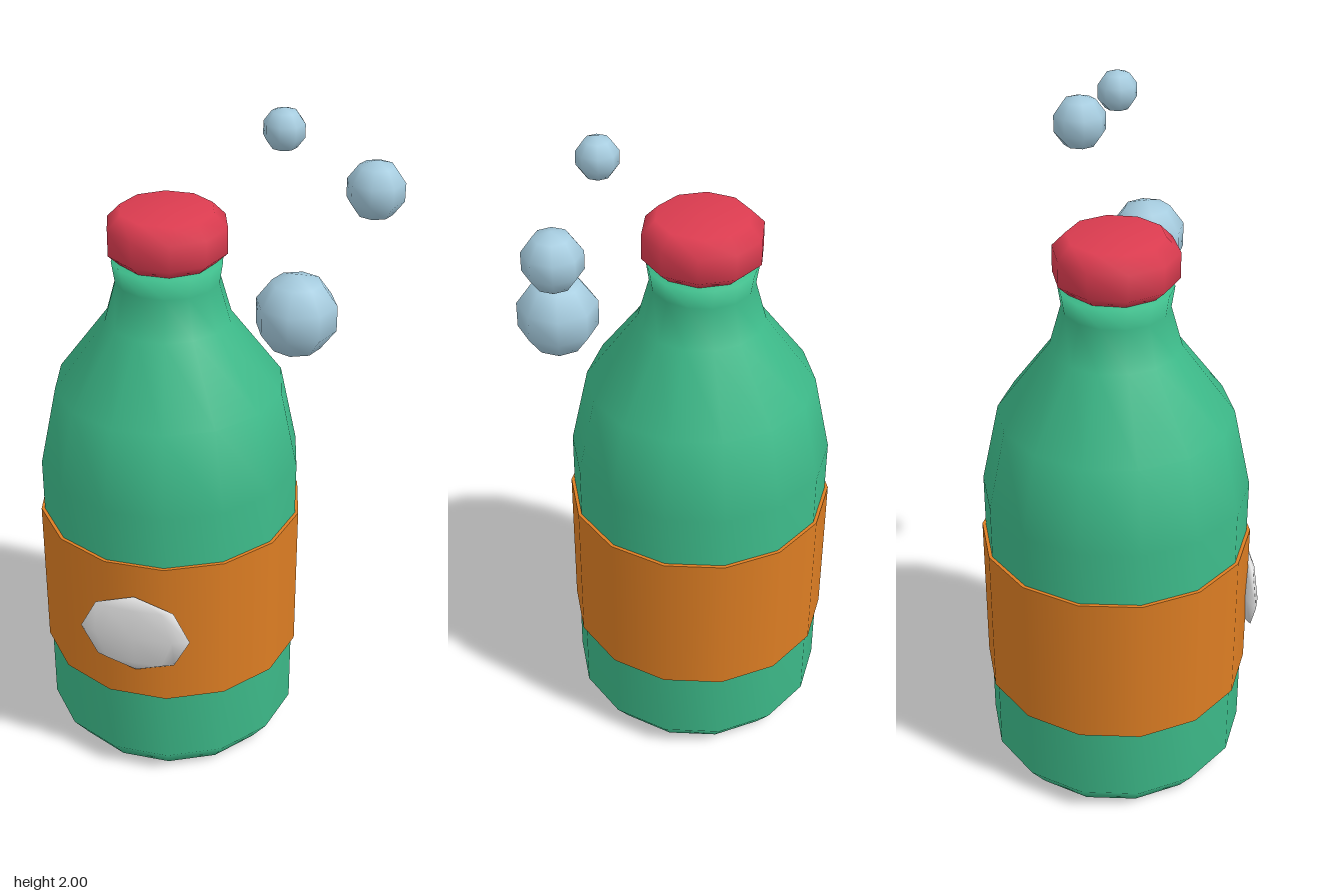
import * as THREE from 'three';

const material = (name, color) => {
  const m = new THREE.MeshStandardMaterial({ color });
  m.name = name;
  return m;
};

export function createModel() {
  const model = new THREE.Group();
  model.name = 'bottleWithBubbles';

  const green = material('greenGlass', 0x3dbb8a);
  const orange = material('orangeLabel', 0xdc7d23);
  const red = material('redCap', 0xdc3c50);
  const white = material('whiteBadge', 0xe0e0e0);
  const blue = material('paleBlueBubble', 0xa5cbde);

  const add = (parent, name, geometry, mat, x = 0, y = 0, z = 0) => {
    const mesh = new THREE.Mesh(geometry, mat);
    mesh.name = name;
    mesh.position.set(x, y, z);
    parent.add(mesh);
    return mesh;
  };

  // Turned solid with its first corner on the x axis
  const turned = (profile, sides) => new THREE.LatheGeometry(
    profile.map(([r, y]) => new THREE.Vector2(r, y)), sides, Math.PI / 2);

  const bottle = new THREE.Group();
  bottle.name = 'bottle';
  bottle.position.set(-0.126, 0, -0.018);
  model.add(bottle);

  // Glass body, shoulder and neck
  add(bottle, 'glassBody', turned([
    [0, 0], [0.325, 0], [0.377, 0.07], [0.377, 0.92], [0.327, 1.155],
    [0.179, 1.355], [0.147, 1.47], [0.156, 1.53], [0, 1.535],
  ], 14), green);

  // Cap with bevelled edges
  add(bottle, 'cap', turned([
    [0, 1.53], [0.138, 1.53], [0.17, 1.56], [0.17, 1.633], [0.132, 1.672], [0, 1.672],
  ], 10), red);

  // Label band wrapped round the body
  add(bottle, 'label',
    new THREE.CylinderGeometry(0.387, 0.387, 0.46, 14, 1, false, Math.PI / 2), orange, 0, 0.53, 0);

  // Flattened oval badge on the label
  add(bottle, 'badge', new THREE.SphereGeometry(1, 8, 4), white, 0, 0.53, 0.386)
    .scale.set(0.162, 0.13, 0.025);

  // Rising bubbles: radius, x, y, z
  [
    [0.113, 0.268, 1.484, 0.145],
    [0.08, 0.433, 1.78, -0.02],
    [0.057, 0.203, 1.943, 0.046],
  ].forEach(([r, x, y, z], i) =>
    add(model, `bubble${i + 1}`, new THREE.SphereGeometry(r, 8, 5), blue, x, y, z));

  return model;
}
